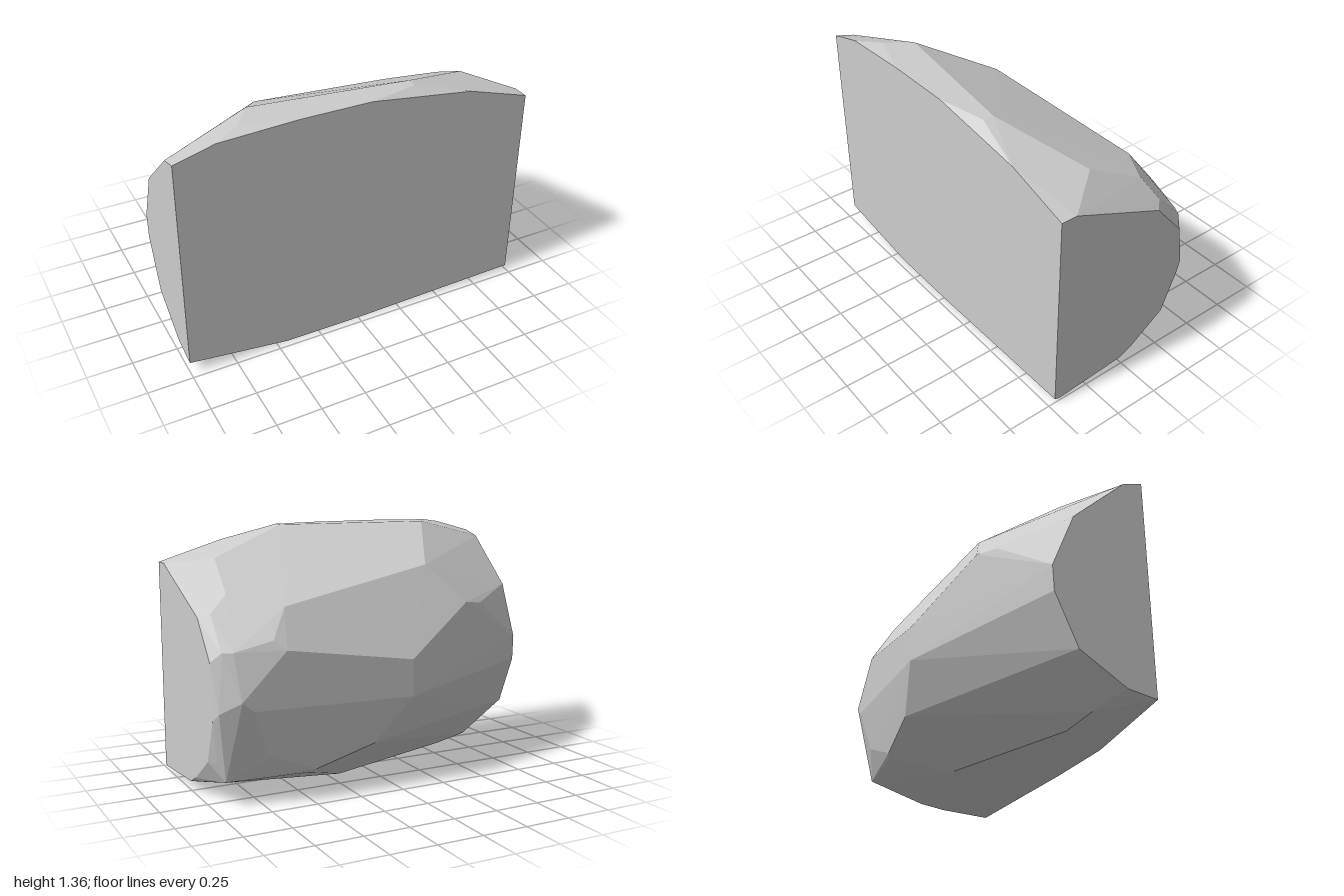
import * as THREE from 'three';
import { ConvexGeometry } from 'three/addons/geometries/ConvexGeometry.js';

const stone = new THREE.MeshStandardMaterial({ color: 0xcccccc });
stone.name = 'grey stone';

// Each outline lies in one flat plane of the boulder
const onPlane = (axis, value, pairs) => pairs.map(([a, b]) =>
  axis === 'x' ? new THREE.Vector3(value, b, a)    // pairs are z, y
    : axis === 'y' ? new THREE.Vector3(a, value, b) // pairs are x, z
      : new THREE.Vector3(a, b, value));            // pairs are x, y

export function createModel() {
  const corners = [
    // sheer front face
    ...onPlane('z', 0.46, [[-1, 0.07], [-1, 1.28], [-0.78, 1.34], [-0.35, 1.36], [0.05, 1.36],
      [0.64, 1.28], [1, 1.17], [1, 0.025], [0.02, 0], [-0.44, 0]]),
    // flat left end
    ...onPlane('x', 1, [[0.37, 1.17], [-0.17, 0.95], [-0.34, 0.75], [-0.36, 0.46],
      [-0.27, 0.23], [-0.07, 0.09], [0.01, 0.05], [0.43, 0.015]]),
    // flat right end
    ...onPlane('x', -1, [[0.35, 1.25], [0.05, 0.98], [-0.075, 0.68], [-0.07, 0.54],
      [0.05, 0.26], [0.3, 0.1]]),
    // crown
    ...onPlane('y', 1.36, [[-0.63, 0.37], [-0.53, 0.23], [0.33, 0.34], [0.33, 0.4]]),
    // base
    ...onPlane('y', 0, [[0.97, 0.43], [0.91, 0.12], [0.18, -0.1], [-0.62, 0.17]]),
    // back face
    ...onPlane('z', -0.46, [[0.64, 0.8], [0.88, 0.56], [0.82, 0.51], [-0.08, 0.49], [-0.08, 0.69]]),
    // chipped facets between the planes
    ...[
      [-0.32, 1.15, -0.17], [0.6, 1.0, -0.34], [0.85, 1.06, -0.18], [0.8, 1.21, 0.12],
      [0.95, 0.97, -0.22], [0.7, 0.85, -0.43], [0.9, 0.8, -0.4], [0.95, 0.8, -0.375],
      [0.98, 0.5, -0.4], [0.73, 0.26, -0.412], [0.97, 0.23, -0.32], [0.93, 0.13, -0.335],
      [0.45, 0.15, -0.39], [0.49, 0.13, -0.37], [0.12, 0.25, -0.41],
      [-0.53, 0.94, -0.27], [-0.66, 0.92, -0.21], [-0.9, 0.38, -0.04], [-0.83, 0.03, 0.2],
    ].map((p) => new THREE.Vector3(...p)),
  ];

  const boulder = new THREE.Mesh(new ConvexGeometry(corners), stone);
  boulder.name = 'boulder';

  const group = new THREE.Group();
  group.name = 'rock';
  group.add(boulder);
  return group;
}
